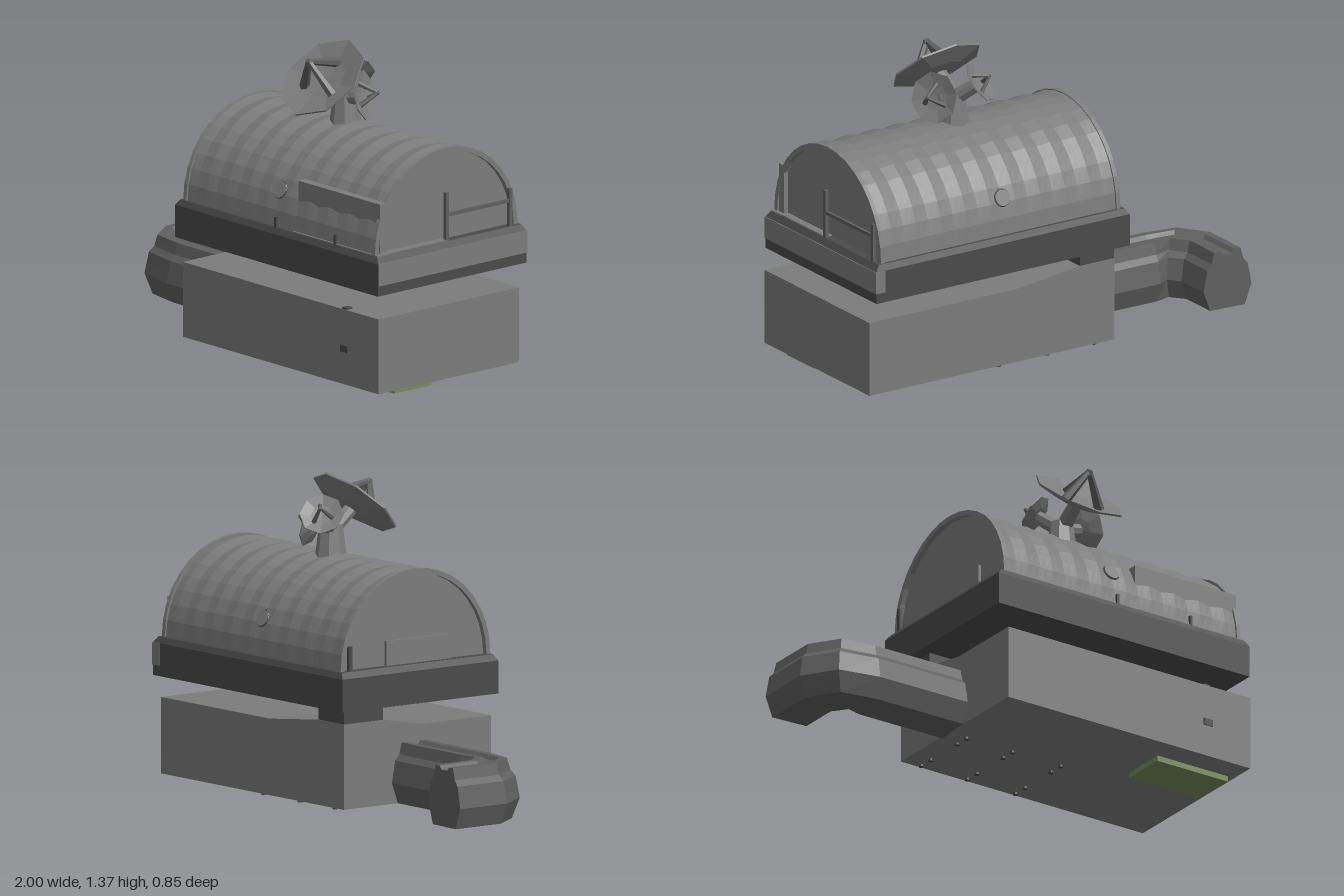
import * as THREE from 'three';

const V = (x, y, z) => new THREE.Vector3(x, y, z);
const paint = (color, side = THREE.FrontSide) => new THREE.MeshStandardMaterial({ color, flatShading: true, side });
const grey = paint(0x7c7c7c);
const greyThin = paint(0x7c7c7c, THREE.DoubleSide);
const dark = paint(0x4a4a4a);
const strutGrey = paint(0x606060);
const tunnelGrey = paint(0x606060, THREE.DoubleSide);
const green = paint(0x768b5a);

function add(parent, name, geo, mat = grey) {
  const m = new THREE.Mesh(geo, mat);
  m.name = name;
  parent.add(m);
  return m;
}

// box given by its limits on each axis
function box(parent, name, x0, x1, y0, y1, z0, z1, mat) {
  const m = add(parent, name, new THREE.BoxGeometry(x1 - x0, y1 - y0, z1 - z0), mat);
  m.position.set((x0 + x1) / 2, (y0 + y1) / 2, (z0 + z1) / 2);
  return m;
}

// tapered rod between two points
function rod(parent, name, a, b, r0, r1, sides, mat) {
  const d = b.clone().sub(a);
  const m = add(parent, name, new THREE.CylinderGeometry(r1, r0, d.length(), sides), mat);
  m.position.copy(a).addScaledVector(d, 0.5);
  m.quaternion.setFromUnitVectors(V(0, 1, 0), d.normalize());
}

// eight-sided dish with a three-legged feed
function dish(parent, name, centre, normal, r) {
  const g = new THREE.Group();
  g.name = name;
  const profile = [[0, -0.17], [0.5, -0.12], [1, 0.02], [1, 0.06], [0.5, -0.06], [0, -0.11]];
  add(g, 'reflector', new THREE.LatheGeometry(profile.map(p => new THREE.Vector2(p[0] * r, p[1] * r)), 8), greyThin);
  for (let i = 0; i < 3; i++) {
    const a = i * Math.PI * 2 / 3 + Math.PI;
    rod(g, 'feedStrut', V(Math.sin(a) * 0.5 * r, -0.07 * r, Math.cos(a) * 0.5 * r), V(0, 0.6 * r, 0), 0.11 * r, 0.06 * r, 6, strutGrey);
  }
  const tip = add(g, 'feedHorn', new THREE.CylinderGeometry(0.06 * r, 0.1 * r, 0.1 * r, 6), strutGrey);
  tip.position.y = 0.59 * r;
  g.position.copy(centre);
  g.quaternion.setFromUnitVectors(V(0, 1, 0), normal);
  parent.add(g);
}

// half-round outline with short straight feet, drawn in z and y
const CY = 0.625;
function arch(r, steps = 18) {
  const pts = [new THREE.Vector2(r, 0.6)];
  for (let i = 0; i <= steps; i++) {
    const a = Math.PI * i / steps;
    pts.push(new THREE.Vector2(r * Math.cos(a), CY + r * Math.sin(a)));
  }
  pts.push(new THREE.Vector2(-r, 0.6));
  return pts;
}
function extrudeX(shape, x0, x1) {
  const geo = new THREE.ExtrudeGeometry(shape, { depth: x1 - x0, bevelEnabled: false });
  return geo.rotateY(Math.PI / 2).translate(x0, 0, 0);
}

// lower block: its top rises gently towards one back corner
function baseGeometry() {
  const xs = [-0.26, -0.09, 0.25, 0.998], zs = [-0.378, -0.165, 0.05, 0.42];
  const geo = new THREE.BoxGeometry(3, 1, 3, 3, 1, 3);
  const p = geo.attributes.position;
  for (let i = 0; i < p.count; i++) {
    const ix = Math.round(p.getX(i) + 1.5), iz = Math.round(p.getZ(i) + 1.5);
    const top = ix < 2 && iz < 2 ? 0.393 : 0.355;
    p.setXYZ(i, xs[ix], p.getY(i) > 0 ? top : 0.025, zs[iz]);
  }
  return geo;
}

// bent passage: one ribbed section swept through five stations
function tunnelGeometry() {
  const half = [[0.085, 0.025], [0.118, 0.115], [0.1, 0.21], [0.078, 0.235], [0.065, 0.285], [0.035, 0.285], [0.022, 0.268]];
  const section = [...half, ...half.map(([u, y]) => [-u, y]).reverse()];
  // x, z and outward direction of each station
  const stations = [[-0.25, 0, 0, 1], [-0.69, -0.005, -0.18, 1], [-0.81, -0.012, -0.75, 0.72], [-0.88, -0.11, -1, 0.3], [-0.88, -0.322, -1, -0.06]];
  const pos = [], idx = [], n = section.length;
  for (const [x, z, ox, oz] of stations)
    for (const [u, y] of section) pos.push(x + ox * u, y, z + oz * u);
  for (let s = 0; s < stations.length - 1; s++)
    for (let i = 0; i < n; i++) {
      const a = s * n + i, b = s * n + (i + 1) % n;
      idx.push(a, b, a + n, b, b + n, a + n);
    }
  // end cap
  const caps = THREE.ShapeUtils.triangulateShape(section.map(q => new THREE.Vector2(q[0], q[1])), []);
  for (const t of caps) idx.push(...t.map(i => i + n * (stations.length - 1)));
  const geo = new THREE.BufferGeometry();
  geo.setAttribute('position', new THREE.Float32BufferAttribute(pos, 3));
  geo.setIndex(idx);
  geo.computeVertexNormals();
  return geo;
}

// half-round roof whose corrugation fades towards its feet
function roofGeometry() {
  const geo = new THREE.PlaneGeometry(1, 1, 38, 20), p = geo.attributes.position;
  for (let i = 0; i < p.count; i++) {
    const u = p.getX(i) + 0.5, row = Math.round((p.getY(i) + 0.5) * 20);
    const a = Math.PI * THREE.MathUtils.clamp((row - 1) / 18, 0, 1);
    const r = 0.398 + 0.006 * Math.sin(a) * Math.cos(u * 9.5 * Math.PI * 2);
    const y = row === 0 || row === 20 ? 0.6 : CY + r * Math.sin(a);
    p.setXYZ(i, -0.265 + 1.215 * u, y, r * Math.cos(a));
  }
  geo.computeVertexNormals();
  return geo;
}

export function createModel() {
  const model = new THREE.Group();
  model.name = 'dishStation';

  // lower block, passage and pillar
  add(model, 'base', baseGeometry());
  add(model, 'tunnel', tunnelGeometry(), tunnelGrey);
  box(model, 'pillar', -0.26, -0.085, 0.392, 0.46, -0.377, -0.165, dark);
  box(model, 'greenHatch', 0.6, 0.965, 0, 0.026, 0.09, 0.3, green);
  box(model, 'wallBox', 0.755, 0.8, 0.167, 0.197, 0.415, 0.425, dark);
  box(model, 'roofBox', 0.76, 0.79, 0.35, 0.362, 0.385, 0.418, dark);

  // bolts under the base
  for (const x of [-0.17, 0.07, 0.32])
    for (const z of [-0.02, -0.09, -0.285, -0.355]) {
      const bolt = add(model, 'bolt', new THREE.CylinderGeometry(0.011, 0.011, 0.012, 8), dark);
      bolt.position.set(x, 0.021, z);
    }

  // dark platform with a sloping upper edge and a pale end panel
  box(model, 'platform', -0.31, 0.994, 0.455, 0.597, -0.425, 0.42, dark);
  box(model, 'platformEndPanel', 0.95, 0.998, 0.5, 0.597, -0.427, 0.419);
  const edge = add(model, 'platformEdge', new THREE.CylinderGeometry(0.685, Math.SQRT1_2, 0.026, 4).rotateY(Math.PI / 4), dark);
  edge.scale.set(1.304, 1, 0.845);
  edge.position.set(0.342, 0.61, -0.0025);

  // round roof, end walls and end ribs
  add(model, 'roof', roofGeometry(), greyThin);
  add(model, 'endWalls', extrudeX(new THREE.Shape(arch(0.384)), -0.25, 0.935));
  const rib = new THREE.Shape([...arch(0.406), ...arch(0.384).reverse()]);
  for (const x of [-0.273, 0.938]) add(model, 'endRib', extrudeX(rib, x, x + 0.02));

  // portholes on both slopes
  for (const side of [1, -1]) {
    const port = new THREE.Group();
    port.name = 'porthole';
    add(port, 'frame', new THREE.TorusGeometry(0.036, 0.004, 5, 16), dark);
    add(port, 'pane', new THREE.CylinderGeometry(0.036, 0.036, 0.012, 16).rotateX(Math.PI / 2));
    port.position.set(0.31, 0.78, side * 0.368);
    port.rotation.order = 'YXZ';
    port.rotation.set(-0.4, side > 0 ? 0 : Math.PI, 0);
    model.add(port);
  }

  // front bay, step and small hooks
  box(model, 'frontBay', 0.43, 0.956, 0.61, 0.845, 0.335, 0.374);
  box(model, 'frontStep', 0.43, 0.975, 0.6, 0.627, 0.33, 0.406);
  for (const x of [0.32, 0.7]) box(model, 'hook', x - 0.006, x + 0.006, 0.62, 0.668, 0.39, 0.408, dark);

  // end railing and far end panel
  box(model, 'railPost', 0.955, 0.972, 0.61, 0.835, -0.004, 0.014, strutGrey);
  box(model, 'railPost', 0.955, 0.972, 0.61, 0.79, -0.364, -0.347, strutGrey);
  box(model, 'railBar', 0.957, 0.97, 0.728, 0.743, -0.35, 0, strutGrey);
  box(model, 'endSill', 0.935, 0.972, 0.6, 0.628, 0, 0.385);
  box(model, 'endPanel', -0.262, -0.24, 0.61, 0.73, -0.15, 0.2);
  box(model, 'endHook', -0.285, -0.27, 0.615, 0.73, -0.37, -0.352, dark);

  // dish mast, arms and dishes
  const hub = V(0.31, 1.12, 0);
  rod(model, 'mast', V(0.31, 1, 0), V(0.31, 1.15, 0), 0.07, 0.05, 8);
  const dishes = [
    ['largeDish', V(0.31, 1.225, 0.125), V(0, 0.74, 0.67), 0.206],
    ['sideDish', V(0.415, 1.148, -0.012), V(0.85, 0.27, -0.42), 0.112],
    ['rearDish', V(0.245, 1.208, -0.1), V(-0.55, 0.6, -0.58), 0.095],
  ];
  for (const [name, centre, normal, r] of dishes) {
    normal.normalize();
    rod(model, name + 'Arm', hub, centre.clone().addScaledVector(normal, -0.14 * r), 0.036, 0.03, 8);
    dish(model, name, centre, normal, r);
  }
  return model;
}
